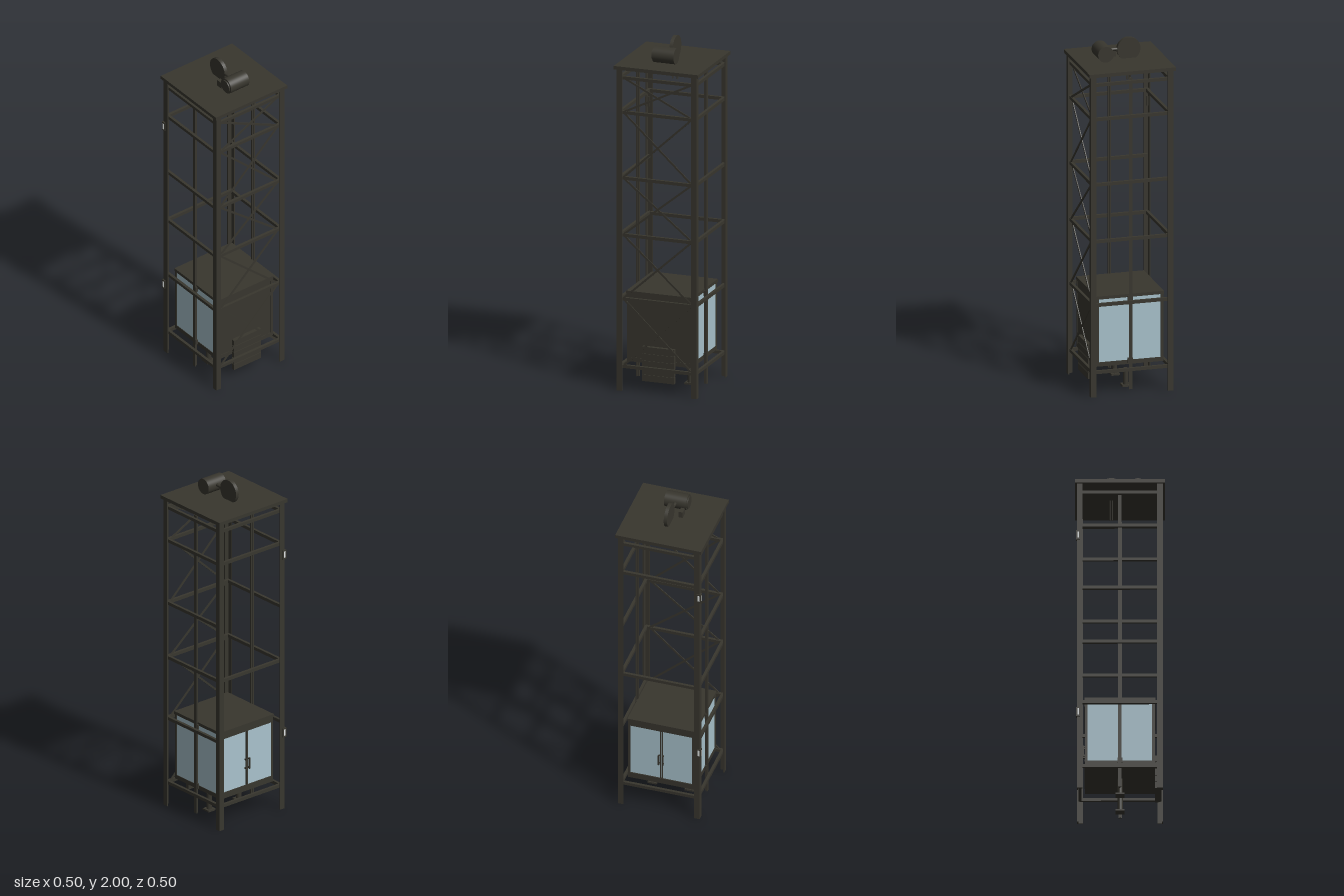
import * as THREE from 'three';

export function createModel() {
  const root = new THREE.Group();
  const mat = (name, color, side = THREE.FrontSide) => {
    const m = new THREE.MeshStandardMaterial({ color, side });
    m.name = name;
    return m;
  };
  const steel = mat('dark steel', 0x38362e);
  const glass = mat('pale blue glass', 0xa9c3cd);
  const light = mat('call panel light', 0xdfe3e4);

  const add = (parent, name, geo, material, x, y, z) => {
    const m = new THREE.Mesh(geo, material);
    m.name = name;
    m.position.set(x, y, z);
    parent.add(m);
    return m;
  };
  // box given by its minimum and maximum on each axis
  const box = (parent, name, x0, x1, y0, y1, z0, z1, material = steel) =>
    add(parent, name, new THREE.BoxGeometry(x1 - x0, y1 - y0, z1 - z0), material,
      (x0 + x1) / 2, (y0 + y1) / 2, (z0 + z1) / 2);
  const group = (name) => {
    const g = new THREE.Group();
    g.name = name;
    root.add(g);
    return g;
  };

  // Corner posts of angle iron
  const frame = group('shaftFrame');
  const angle = new THREE.Shape([[0, 0], [0.032, 0], [0.032, 0.007], [0.007, 0.007], [0.007, 0.032], [0, 0.032]]
    .map(([a, b]) => new THREE.Vector2(a, b)));
  const postGeo = new THREE.ExtrudeGeometry(angle, { depth: 1.86, bevelEnabled: false });
  postGeo.rotateX(-Math.PI / 2);
  [[-1, 1], [1, 1], [1, -1], [-1, -1]].forEach(([sx, sz], i) => {
    const p = add(frame, 'cornerPost', postGeo, steel, sx * 0.238, 0, sz * 0.238);
    p.rotation.y = i * Math.PI / 2;
  });

  // Horizontal rails; the door side stays open at the landings
  const levels = [0.14, 0.53, 0.9, 1.23, 1.61, 1.81];
  levels.forEach((y) => {
    const a = y - 0.009, b = y + 0.009;
    for (const s of [-1, 1]) {
      const z = s * 0.222;
      box(frame, 'crossRail', -0.225, 0.225, a, b, z - 0.008, z + 0.008);
    }
    box(frame, 'sideRail', 0.214, 0.23, a, b, -0.225, 0.225);
    if (y !== 1.23 && y !== 0.53) box(frame, 'doorSideRail', -0.23, -0.214, a, b, -0.225, 0.225);
  });

  // X bracing on one side
  for (let i = 0; i < levels.length - 1; i++) {
    const h = levels[i + 1] - levels[i], w = 0.41;
    for (const s of [-1, 1]) {
      const brace = add(frame, 'diagonalBrace', new THREE.BoxGeometry(0.005, 0.011, Math.hypot(h, w)),
        steel, 0.222 + s * 0.003, levels[i] + h / 2, 0);
      brace.rotation.x = s * Math.atan2(h, w);
    }
  }

  // Guide rails of T section, and buffers on the floor
  for (const s of [-1, 1]) {
    const rail = group('guideRail');
    box(rail, 'railFlange', -0.01, 0.01, 0.02, 1.83, s * 0.207 - 0.003, s * 0.207 + 0.003);
    box(rail, 'railWeb', -0.004, 0.004, 0.02, 1.83, s * 0.199 - 0.006, s * 0.199 + 0.006);
    for (const y of [0.185, 0.545])
      box(rail, 'guideShoe', -0.014, 0.014, y - 0.015, y + 0.015, s * 0.2 - 0.006, s * 0.2 + 0.006);
    const buffer = group('buffer');
    box(buffer, 'bufferBase', -0.025, 0.025, 0.01, 0.02, s * 0.108 - 0.026, s * 0.108 + 0.026);
    add(buffer, 'bufferColumn', new THREE.CylinderGeometry(0.015, 0.015, 0.092, 20), steel, 0, 0.066, s * 0.108);
  }

  // Cabin
  const cabin = group('cabin');
  const c = 0.193;
  box(cabin, 'cabinFloor', -c, c, 0.162, 0.186, -c, c);
  box(cabin, 'cabinRoof', -c - 0.003, c + 0.003, 0.552, 0.57, -c - 0.003, c + 0.003);
  for (const sx of [-1, 1]) for (const sz of [-1, 1])
    box(cabin, 'cabinCorner', sx * 0.186 - 0.007, sx * 0.186 + 0.007, 0.18, 0.555, sz * 0.186 - 0.007, sz * 0.186 + 0.007);
  for (const s of [-1, 1])
    box(cabin, 'cabinWindow', -0.18, 0.18, 0.185, 0.553, s * 0.187 - 0.003, s * 0.187 + 0.003, glass);
  box(cabin, 'solidWall', 0.182, 0.19, 0.185, 0.553, -0.18, 0.18);

  // Double glass door
  box(cabin, 'doorHeader', -0.196, -0.182, 0.525, 0.553, -0.18, 0.18);
  box(cabin, 'doorSill', -0.196, -0.182, 0.186, 0.198, -0.18, 0.18);
  for (const s of [-1, 1]) {
    box(cabin, 'doorPane', -0.19, -0.184, 0.195, 0.53, s * 0.091 - 0.089, s * 0.091 + 0.089, glass);
    box(cabin, 'doorStile', -0.194, -0.182, 0.195, 0.53, s * 0.005 - 0.003, s * 0.005 + 0.003);
    box(cabin, 'doorHandle', -0.206, -0.2, 0.295, 0.362, s * 0.012 - 0.004, s * 0.012 + 0.004);
    for (const y of [0.302, 0.355])
      box(cabin, 'handleMount', -0.202, -0.188, y - 0.004, y + 0.004, s * 0.012 - 0.003, s * 0.012 + 0.003);
  }

  // Counterweight made of stacked slabs
  const weight = group('counterweight');
  box(weight, 'weightCore', 0.197, 0.21, 0.065, 0.262, -0.09, 0.09);
  for (let i = 0; i < 5; i++)
    box(weight, 'weightSlab', 0.193, 0.214, 0.063 + i * 0.0405, 0.1 + i * 0.0405, -0.095, 0.095);

  // Call panels on the front door-side post
  for (const y of [0.462, 1.543]) {
    const panel = group('callPanel');
    box(panel, 'panelBox', -0.243, -0.222, y - 0.028, y + 0.028, 0.222, 0.246);
    box(panel, 'panelFrontPlate', -0.236, -0.227, y - 0.018, y + 0.02, 0.246, 0.247, light);
    box(panel, 'panelSidePlate', -0.244, -0.243, y - 0.018, y + 0.02, 0.229, 0.24, light);
  }

  // Roof plate, hoist machine and ropes
  const top = group('hoist');
  box(top, 'roofPlate', -0.25, 0.25, 1.86, 1.88, -0.25, 0.25);
  const disc = (name, r, len, x, y, z) => {
    const m = add(top, name, new THREE.CylinderGeometry(r, r, len, 40), steel, x, y, z);
    m.rotation.x = Math.PI / 2;
  };
  disc('sheave', 0.067, 0.02, -0.048, 1.933, -0.001);
  disc('motor', 0.0455, 0.128, 0.1, 1.928, -0.001);
  disc('motorCap', 0.036, 0.008, 0.1, 1.928, 0.066);
  const shaft = add(top, 'driveShaft', new THREE.CylinderGeometry(0.009, 0.009, 0.09, 20), steel, 0.03, 1.935, -0.001);
  shaft.rotation.z = Math.PI / 2;
  box(top, 'controlBox', 0.013, 0.053, 1.88, 1.918, 0.035, 0.058);
  for (const x of [-0.055, -0.041]) for (const z of [-0.014, 0.014])
    add(top, 'rope', new THREE.CylinderGeometry(0.003, 0.003, 0.13, 8), steel, x, 1.815, z);

  return root;
}
